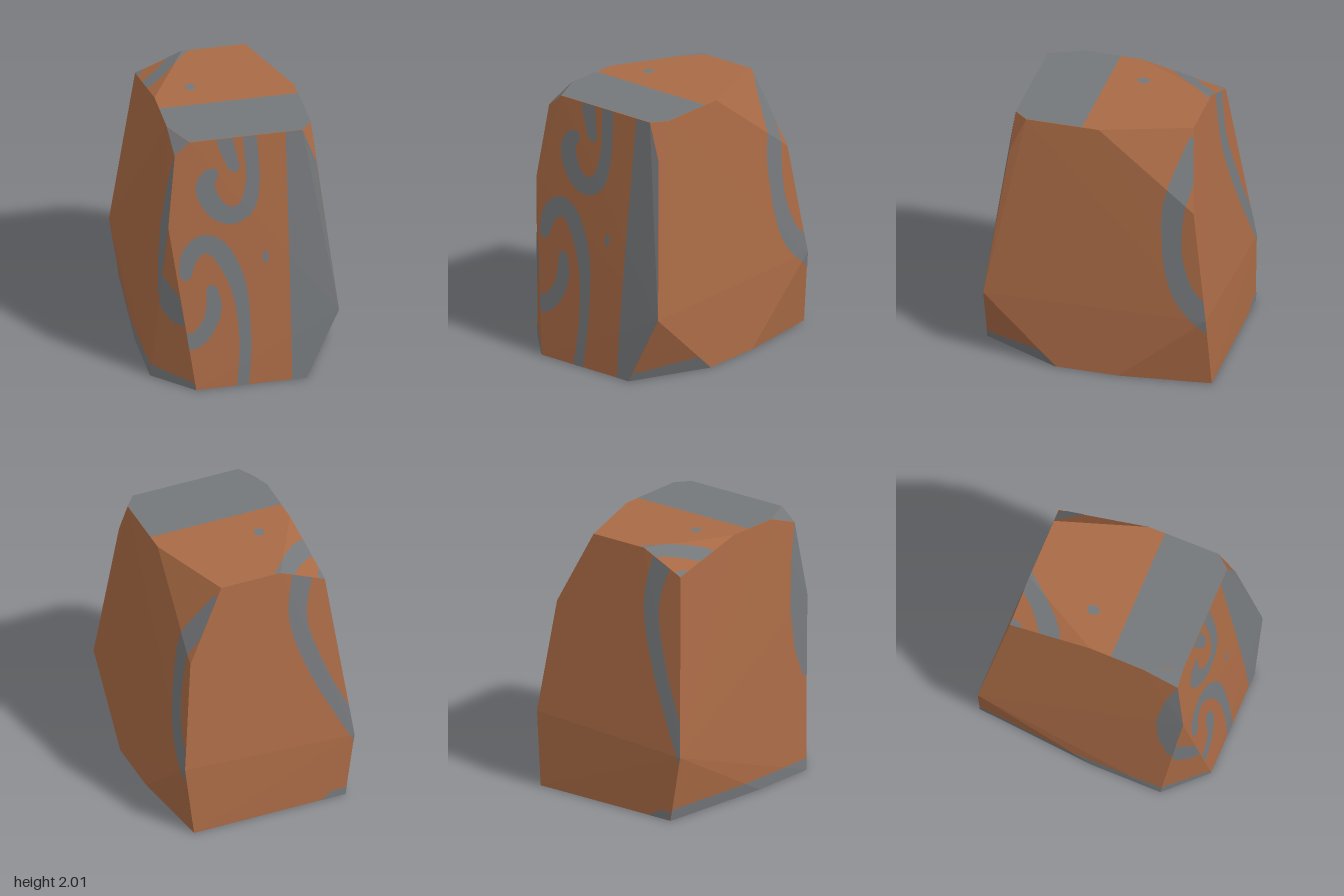
import * as THREE from 'three';
import { ConvexGeometry } from 'three/addons/geometries/ConvexGeometry.js';

const V2 = (p) => new THREE.Vector2(p[0], p[1]);

// Corners of the chipped stone block
const CORNERS = [
  // flat top
  [-0.18, 2, -0.67], [0.3, 2, -0.67], [0.525, 2, 0], [0.525, 2, 0.56],
  [0.44, 2, 0.665], [-0.42, 2, 0.665], [-0.535, 2, 0.4], [-0.53, 2, -0.04],
  // shoulders and sides
  [-0.535, 1.9, 0.67], [-0.535, 1.85, -0.68], [0.54, 1.72, 0.685], [0.585, 1.43, -0.75],
  [-0.6, 1.33, 0.74], [0.68, 0.57, -0.87], [0.675, 0.53, 0.85], [-0.69, 0.51, -0.875],
  // flat base
  [-0.42, 0, 0.89], [0.42, 0, 0.89], [0.705, 0, 0.28], [0.705, 0, -0.2],
  [0.62, 0, -0.9], [-0.61, 0, -0.89], [-0.7, 0, 0.05], [-0.705, 0, 0.6],
];

// Outline of a stroke along a curve, with changing width and rounded ends
function stroke(points, widths, steps = 28) {
  const curve = new THREE.SplineCurve(points.map(V2));
  const left = [], right = [];
  for (let i = 0; i <= steps; i++) {
    const t = i / steps;
    const f = t * (widths.length - 1), k = Math.min(Math.floor(f), widths.length - 2);
    const h = widths.length === 1 ? widths[0] / 2
      : THREE.MathUtils.lerp(widths[k], widths[k + 1], f - k) / 2;
    const p = curve.getPoint(t), d = curve.getTangent(t);
    left.push([p.x - d.y * h, p.y + d.x * h]);
    right.push([p.x + d.y * h, p.y - d.x * h]);
    if (i === 0 || i === steps) {
      const s = i === 0 ? -1 : 1;
      const tip = [p.x + d.x * h * 0.8 * s, p.y + d.y * h * 0.8 * s];
      if (i === 0) left.unshift(tip); else left.push(tip);
    }
  }
  return [...left, ...right.reverse()];
}

function dot(x, y, rx, ry) {
  return new THREE.EllipseCurve(x, y, rx, ry).getPoints(14).slice(0, 14).map((p) => [p.x, p.y]);
}

const rect = (a, b, c, d) => [[a, b], [c, b], [c, d], [a, d]];

const area = (t) => (t[1][0] - t[0][0]) * (t[2][1] - t[0][1]) - (t[1][1] - t[0][1]) * (t[2][0] - t[0][0]);
const ccw = (t) => (area(t) < 0 ? [t[0], t[2], t[1]] : t);

// Clip a polygon to a counter-clockwise triangle
function clip(poly, tri) {
  for (let i = 0; i < 3 && poly.length; i++) {
    const a = tri[i], b = tri[(i + 1) % 3];
    const out = [];
    poly.forEach((p, j) => {
      const q = poly[(j + 1) % poly.length];
      const dp = area([a, b, p]), dq = area([a, b, q]);
      if (dp >= 0) out.push(p);
      if ((dp >= 0) !== (dq >= 0)) {
        const t = dp / (dp - dq);
        out.push([p[0] + (q[0] - p[0]) * t, p[1] + (q[1] - p[1]) * t]);
      }
    });
    poly = out;
  }
  return poly;
}

// Lay flat outlines onto the block faces chosen by their normal
function paint(block, axes, chosen, outlines) {
  const [u, v, w] = axes;
  const pos = block.attributes.position;
  const pieces = outlines.flatMap((o) =>
    THREE.ShapeUtils.triangulateShape(o.map(V2), []).map((f) => ccw(f.map((i) => o[i]))));
  const verts = [];
  for (let i = 0; i < pos.count; i += 3) {
    const c = [0, 1, 2].map((k) => new THREE.Vector3().fromBufferAttribute(pos, i + k));
    const face = new THREE.Triangle(...c);
    const n = face.getNormal(new THREE.Vector3());
    if (!chosen(n)) continue;
    const flat = ccw(c.map((p) => [p[u], p[v]]));
    if (Math.abs(area(flat)) < 1e-6) continue;
    const lift = (p) => {
      const r = new THREE.Vector3();
      r[u] = p[0];
      r[v] = p[1];
      r[w] = (n.dot(c[0]) - n[u] * p[0] - n[v] * p[1]) / n[w];
      return r.addScaledVector(n, 0.003);
    };
    for (const piece of pieces) {
      const p = clip(piece, flat).map(lift);
      for (let k = 1; k + 1 < p.length; k++) {
        const t = new THREE.Triangle(p[0], p[k], p[k + 1]);
        const order = t.getNormal(new THREE.Vector3()).dot(n) < 0 ? [t.a, t.c, t.b] : [t.a, t.b, t.c];
        order.forEach((q) => verts.push(q.x, q.y, q.z));
      }
    }
  }
  const g = new THREE.BufferGeometry();
  g.setAttribute('position', new THREE.Float32BufferAttribute(verts, 3));
  g.computeVertexNormals();
  return g;
}

export function createModel() {
  const group = new THREE.Group();
  group.name = 'carvedStone';
  const clay = new THREE.MeshStandardMaterial({ color: 0xa96a45 });
  clay.name = 'clay brown';
  const slate = new THREE.MeshStandardMaterial({ color: 0x75787b });
  slate.name = 'slate grey';

  const block = new ConvexGeometry(CORNERS.map((c) => new THREE.Vector3(...c)));
  const add = (name, geometry, material) => {
    const mesh = new THREE.Mesh(geometry, material);
    mesh.name = name;
    group.add(mesh);
  };
  add('stoneBlock', block, clay);

  const front = ['x', 'y', 'z'], side = ['z', 'y', 'x'], flat = ['x', 'z', 'y'];
  const mark = (name, axes, chosen, outlines) => add(name, paint(block, axes, chosen, outlines), slate);

  // Front: side band, three swirls and a dot
  mark('frontSwirls', front, (n) => n.z > 0.9, [
    rect(0.31, -0.1, 1, 2.1),
    stroke([[-0.25, 1.74], [-0.305, 1.67], [-0.3, 1.56], [-0.22, 1.43], [-0.11, 1.38], [0, 1.44],
      [0.045, 1.6], [0.05, 1.75], [0.03, 2.08]], [0.1, 0.15, 0.15, 0.14, 0.12, 0.1, 0.11]),
    stroke([[-0.17, 2.08], [-0.14, 1.93], [-0.085, 1.75]], [0.13, 0.12, 0.08]),
    stroke([[-0.48, 0.92], [-0.46, 1.05], [-0.4, 1.14], [-0.32, 1.17], [-0.22, 1.11], [-0.13, 0.95],
      [-0.08, 0.8], [-0.05, 0.6], [-0.04, 0.3], [-0.07, -0.05]], [0.09, 0.14, 0.15, 0.14, 0.12, 0.09, 0.09]),
    stroke([[-0.285, 0.81], [-0.27, 0.66], [-0.31, 0.52], [-0.42, 0.4], [-0.56, 0.42]], [0.08, 0.12, 0.12, 0.13, 0.15]),
    dot(0.13, 1.02, 0.022, 0.05),
  ]);

  // Chipped corners of the front
  mark('leftChipMarks', front, (n) => n.x < -0.4 && n.z > 0.4 && n.y < 0.4, [
    [[-0.66, 0.95], [-0.6, 0.86], [-0.5, 0.72], [-0.46, 0.53], [-0.56, 0.52], [-0.63, 0.6], [-0.68, 0.75]],
    [[-0.75, 0.11], [-0.6, 0.08], [-0.4, 0.05], [-0.4, -0.1], [-0.75, -0.1]],
  ]);
  mark('rightChipBase', side, (n) => n.x > 0.5 && n.z > 0.2 && n.y < 0, [
    [[0.95, 0.08], [0.8, 0.07], [0.6, 0.1], [0.42, 0.12], [0.3, 0.06], [0.25, -0.1], [0.95, -0.1]],
  ]);
  mark('topCornerChip', flat, (n) => n.y > 0.2 && n.x < -0.3 && n.z > 0.1, [rect(-1, -1, 1, 1)]);

  // Top: broad band, curved stroke and dot
  mark('topMarks', flat, (n) => n.y > 0.75, [
    rect(-1, 0.13, 1, 1),
    stroke([[-0.62, -0.33], [-0.5, -0.38], [-0.38, -0.48], [-0.28, -0.59], [-0.16, -0.74]], [0.17, 0.15, 0.13, 0.12, 0.14]),
    dot(-0.24, -0.13, 0.038, 0.048),
    [[-0.6, -0.72], [-0.48, -0.69], [-0.5, -0.62], [-0.54, -0.57], [-0.6, -0.57]],
  ]);

  // Right and left sides
  mark('rightSideStroke', side, (n) => n.x > 0.7 && n.z < 0.2, [
    stroke([[-0.69, 1.92], [-0.64, 1.65], [-0.59, 1.4], [-0.59, 1.15], [-0.62, 0.95], [-0.72, 0.72], [-0.95, 0.53]],
      [0.08, 0.17, 0.17, 0.15, 0.16, 0.18, 0.22]),
  ]);
  mark('leftSideMarks', side, (n) => n.x < -0.8 && n.z < 0.4, [
    [[0.72, 1.95], [0.66, 1.88], [0.58, 1.6], [0.53, 1.25], [0.55, 0.95], [0.63, 0.72], [0.85, 0.72], [0.85, 1.6]],
    rect(-0.95, -0.1, 0.95, 0.09),
  ]);

  // Back: long curved stroke and a corner patch
  mark('backStroke', front, (n) => n.z < -0.8, [
    stroke([[-0.42, 2.02], [-0.34, 1.88], [-0.3, 1.55], [-0.43, 1.12], [-0.59, 0.77], [-0.74, 0.48]],
      [0.2, 0.17, 0.14, 0.13, 0.12, 0.12]),
    [[-0.7, 0.07], [-0.5, 0.06], [-0.38, -0.02], [-0.7, -0.02]],
  ]);

  // Underside: band, hook and dot
  mark('undersideMarks', flat, (n) => n.y < -0.9, [
    rect(-1, -1, 1, -0.34),
    stroke([[0.08, 0.84], [0.08, 0.66], [-0.02, 0.56], [-0.2, 0.56], [-0.31, 0.74], [-0.33, 0.98]], [0.11, 0.14, 0.14, 0.13]),
    dot(-0.46, 0.06, 0.06, 0.04),
  ]);

  return group;
}
